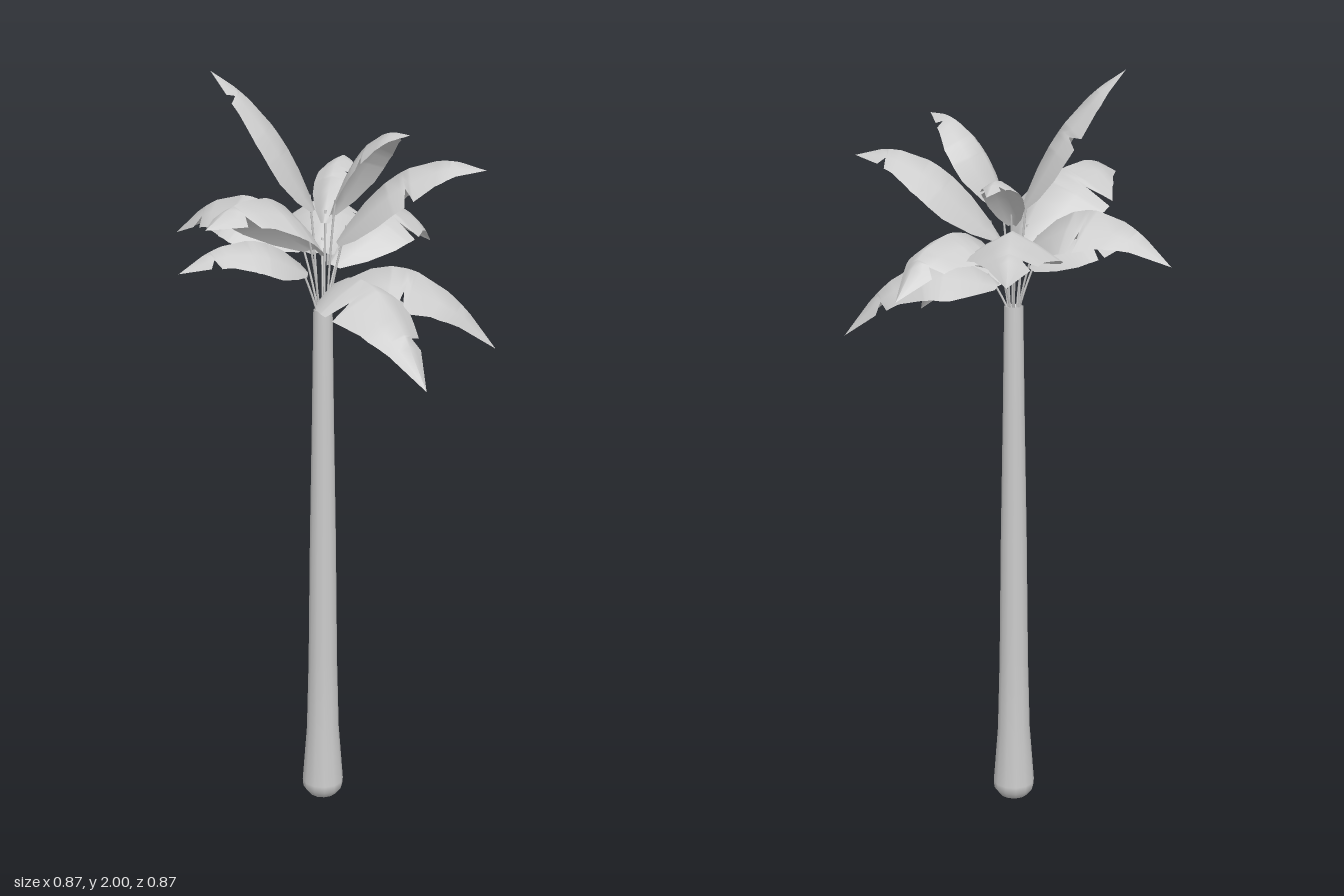
import * as THREE from 'three';

const grey = new THREE.MeshStandardMaterial({ color: 0xcccccc });
const leafGrey = new THREE.MeshStandardMaterial({ color: 0xcccccc, side: THREE.DoubleSide });

// Torn outlines of the two blade halves: [position along rib, share of half width]
const leftEdge = [[0, 0.2], [0.08, 0.6], [0.22, 0.95], [0.34, 1], [0.5, 0.95], [0.7, 0.67], [0.78, 0.56], [0.79, 0.25], [0.84, 0.42], [1, 0]];
const rightEdge = [[0, 0.2], [0.08, 0.6], [0.22, 0.92], [0.36, 1], [0.44, 1], [0.47, 0.5], [0.52, 0.97], [0.75, 0.62], [1, 0]];

// Each frond: blade base, middle of the rib, tip, half width
const fronds = [
  [[-0.015, 1.53, -0.035], [-0.085, 1.635, -0.215], [-0.155, 1.54, -0.405], 0.125],
  [[0.01, 1.5, -0.035], [0.078, 1.62, -0.23], [0.125, 1.485, -0.435], 0.115],
  [[0.04, 1.45, -0.01], [0.235, 1.5, -0.065], [0.43, 1.3, -0.135], 0.135],
  [[0.04, 1.57, -0.005], [0.21, 1.762, -0.055], [0.41, 1.77, -0.09], 0.115],
  [[0.03, 1.45, 0.02], [0.205, 1.495, 0.125], [0.395, 1.29, 0.245], 0.12],
  [[0, 1.555, 0.035], [-0.045, 1.72, 0.215], [-0.105, 1.68, 0.43], 0.14],
  [[-0.035, 1.55, 0], [-0.225, 1.663, -0.015], [-0.435, 1.54, -0.03], 0.14],
  [[-0.025, 1.49, 0.025], [-0.14, 1.585, 0.135], [-0.27, 1.515, 0.265], 0.105],
  [[-0.015, 1.65, 0.005], [-0.112, 1.862, 0.045], [-0.255, 2, 0.105], 0.085],
  [[0.025, 1.64, 0], [0.125, 1.825, 0.005], [0.26, 1.87, 0.045], 0.078],
  [[-0.003, 1.61, -0.025], [-0.02, 1.74, -0.13], [-0.04, 1.725, -0.265], 0.052],
];

function widthAt(profile, t) {
  const i = Math.max(1, profile.findIndex(([s]) => s >= t));
  const [t0, w0] = profile[i - 1], [t1, w1] = profile[i];
  return w0 + (w1 - w0) * (t - t0) / (t1 - t0);
}

// Folded blade with its halves drooping from the rib
function bladeGeometry(curve, halfWidth) {
  const stations = [...new Set([...leftEdge, ...rightEdge].map(([t]) => t))].sort((a, b) => a - b);
  const heading = curve.v2.clone().sub(curve.v0).setY(0).normalize();
  const side = new THREE.Vector3(0, 1, 0).cross(heading);
  const pos = [], index = [];
  stations.forEach((t, i) => {
    const rib = curve.getPoint(t);
    const up = curve.getTangent(t).cross(side).normalize();
    [-1, -0.5, 0, 0.5, 1].forEach((c, j) => {
      const w = c * halfWidth * widthAt(c < 0 ? rightEdge : leftEdge, t);
      const drop = Math.abs(w) * (0.44 + 0.16 * Math.abs(c));
      const p = rib.clone().addScaledVector(side, w).addScaledVector(up, -drop);
      pos.push(p.x, p.y, p.z);
      if (i && j) {
        const d = i * 5 + j, b = d - 5;
        index.push(b - 1, b, d - 1, b, d, d - 1);
      }
    });
  });
  const g = new THREE.BufferGeometry();
  g.setAttribute('position', new THREE.Float32BufferAttribute(pos, 3));
  g.setIndex(index);
  g.computeVertexNormals();
  return g;
}

export function createModel() {
  const model = new THREE.Group();
  model.name = 'palmTree';
  const trunkX = 0.008, trunkZ = 0.006;

  // Tapered trunk with a bevelled, swollen foot
  const profile = [[0, 0], [0.038, 0], [0.054, 0.02], [0.056, 0.04], [0.044, 0.2], [0.039, 0.4],
    [0.035, 0.75], [0.029, 1.1], [0.025, 1.39], [0.019, 1.39], [0, 1.375]];
  const trunk = new THREE.Mesh(
    new THREE.LatheGeometry(profile.map(([r, y]) => new THREE.Vector2(r, y)), 12), grey);
  trunk.name = 'trunk';
  trunk.position.set(trunkX, 0, trunkZ);
  model.add(trunk);

  fronds.forEach(([b, m, p, halfWidth], i) => {
    const [base, mid, tip] = [b, m, p].map((v) => new THREE.Vector3(...v));
    const control = mid.clone().multiplyScalar(2).sub(base.clone().add(tip).multiplyScalar(0.5));
    const rib = new THREE.QuadraticBezierCurve3(base, control, tip);
    const frond = new THREE.Group();
    frond.name = 'frond' + (i + 1);

    // Thin stalk from the trunk top to the blade
    const root = new THREE.Vector3(tip.x, 0, tip.z).setLength(0.012).add(new THREE.Vector3(trunkX, 1.37, trunkZ));
    const bend = root.clone().lerp(base, 0.5);
    const stalk = new THREE.Mesh(
      new THREE.TubeGeometry(new THREE.QuadraticBezierCurve3(root, bend, rib.getPoint(0.08)), 5, 0.003, 5), grey);
    stalk.name = 'stalk';

    const blade = new THREE.Mesh(bladeGeometry(rib, halfWidth), leafGrey);
    blade.name = 'blade';
    frond.add(stalk, blade);
    model.add(frond);
  });
  return model;
}
